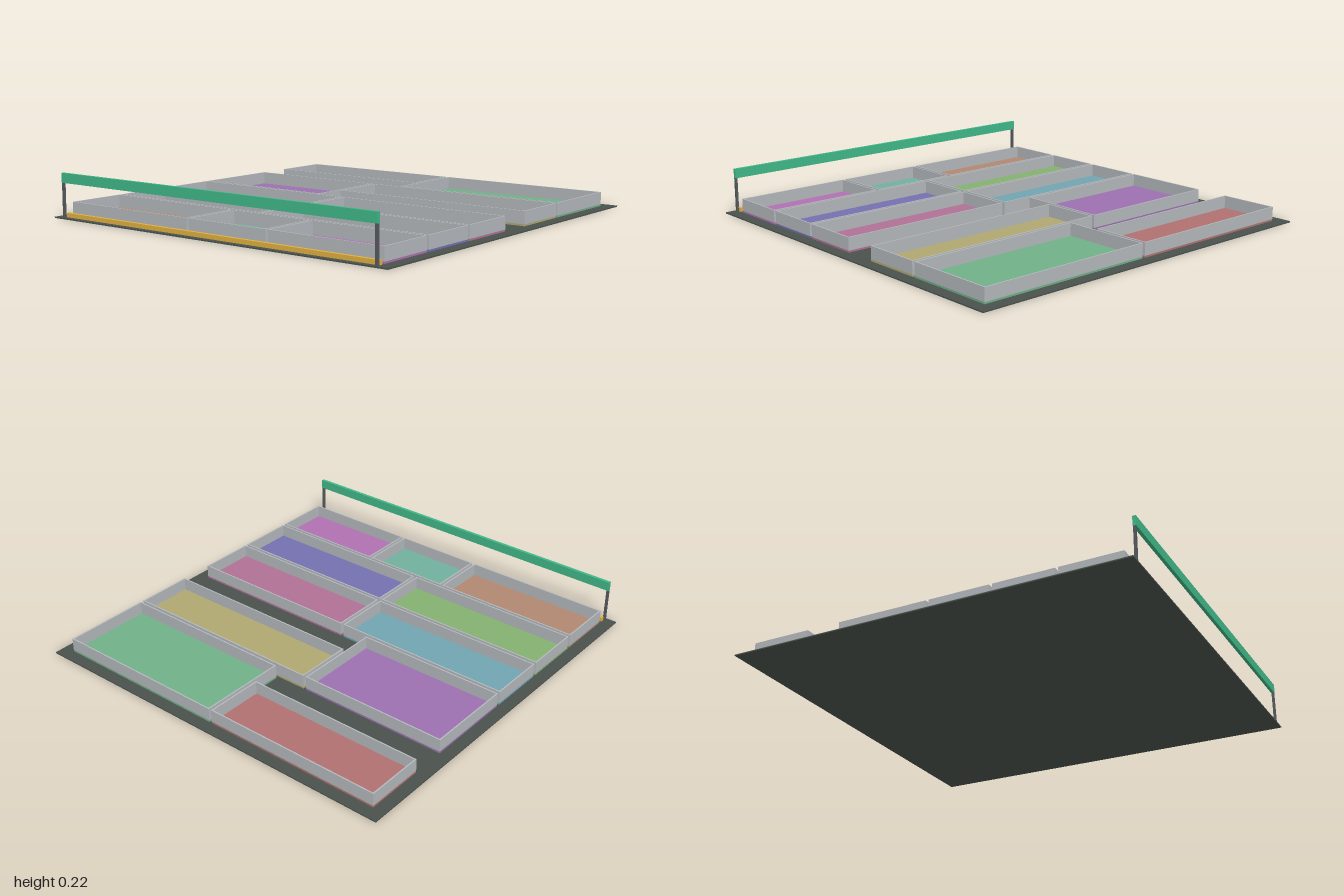
import * as THREE from 'three';

const UNIT = 0.1575; // layout module: the plan is 12 x 12 units
const GAP = 0.0075; // inset of each room from its cell
const WALL = 0.007;
const BASE_TOP = 0.006, FLOOR_TOP = 0.015, WALL_TOP = 0.078;

function material(color) {
  return new THREE.MeshStandardMaterial({ color });
}

// Box given by its minimum and maximum corners
function box(name, [x0, y0, z0], [x1, y1, z1], mat) {
  const mesh = new THREE.Mesh(new THREE.BoxGeometry(x1 - x0, y1 - y0, z1 - z0), mat);
  mesh.position.set((x0 + x1) / 2, (y0 + y1) / 2, (z0 + z1) / 2);
  mesh.name = name;
  return mesh;
}

function rectangle(PathType, w, d) {
  return new PathType([[-w, -d], [w, -d], [w, d], [-w, d]].map(([x, y]) => new THREE.Vector2(x / 2, y / 2)));
}

// Open-topped room: a coloured floor slab carrying a thin wall ring
function room(col, row, cols, rows, color, wallMat) {
  const w = cols * UNIT - 2 * GAP, d = rows * UNIT - 2 * GAP;
  const group = new THREE.Group();
  group.name = 'room';
  group.position.set((col + cols / 2 - 6) * UNIT, 0, (row + rows / 2 - 6) * UNIT);
  group.add(box('roomFloor', [-w / 2, BASE_TOP, -d / 2], [w / 2, FLOOR_TOP, d / 2], material(color)));

  const ring = rectangle(THREE.Shape, w, d);
  ring.holes.push(rectangle(THREE.Path, w - 2 * WALL, d - 2 * WALL));
  const geometry = new THREE.ExtrudeGeometry(ring, { depth: WALL_TOP - FLOOR_TOP, bevelEnabled: false });
  geometry.rotateX(-Math.PI / 2);
  const walls = new THREE.Mesh(geometry, wallMat);
  walls.position.y = FLOOR_TOP;
  walls.name = 'roomWalls';
  group.add(walls);
  return group;
}

export function createModel() {
  const model = new THREE.Group();
  model.name = 'floorPlan';

  // Ground slab
  model.add(box('baseSlab', [-1, 0, -1], [1, BASE_TOP, 1], material(0x4a524d)));

  // Rooms: column, row, columns wide, rows deep, floor colour
  const wallMat = material(0xb4b8bc);
  const rooms = [
    [0, 0, 6, 2, 0xb07070],
    [6, 0, 6, 3, 0x70b088],
    [0, 3, 5, 3, 0x9c70b0],
    [5, 3, 7, 2, 0xb0a870],
    [0, 6, 6, 2, 0x70a4b0],
    [6, 6, 6, 2, 0xb07094],
    [0, 8, 6, 2, 0x84b070],
    [6, 8, 6, 2, 0x7470b0],
    [0, 10, 5, 2, 0xb08870],
    [5, 10, 3, 2, 0x70b09c],
    [8, 10, 4, 2, 0xb070b0],
  ];
  for (const [col, row, cols, rows, color] of rooms) {
    model.add(room(col, row, cols, rows, color, wallMat));
  }

  // Low strip along the front edge
  model.add(box('frontStrip', [-0.94, BASE_TOP, 0.955], [0.94, 0.027, 0.973], material(0xe0b040)));

  // Sign board on two posts
  const postMat = material(0x555a5e);
  for (const side of [-1, 1]) {
    const x = side * 0.939;
    model.add(box('signPost', [x - 0.006, BASE_TOP, 0.982], [x + 0.006, 0.177, 0.994], postMat));
  }
  model.add(box('signBoard', [-0.945, 0.177, 0.98], [0.945, 0.225, 0.996], material(0x40b888)));

  return model;
}
